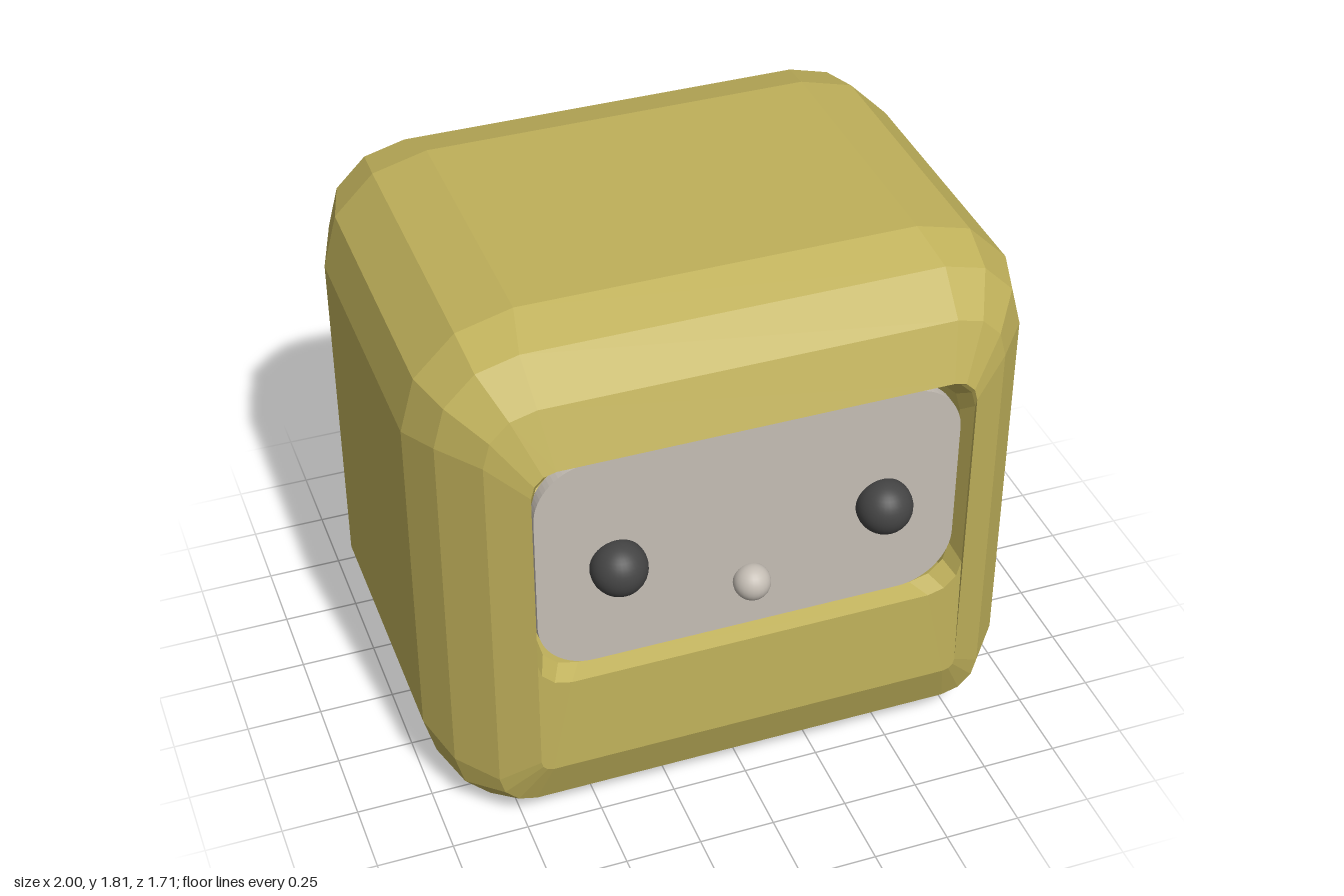
import * as THREE from 'three';

const paint = (color, flatShading = false) => new THREE.MeshStandardMaterial({ color, flatShading });

// Rounded rectangle loop, counter-clockwise, four points per corner
function loop([z, x, y0, y1, rTop, rBottom]) {
  const corners = [
    [x - rBottom, y0 + rBottom, rBottom, -1], [x - rTop, y1 - rTop, rTop, 0],
    [-x + rTop, y1 - rTop, rTop, 1], [-x + rBottom, y0 + rBottom, rBottom, 2],
  ];
  const points = [];
  for (const [cx, cy, r, quarter] of corners) {
    for (let i = 0; i <= 3; i++) {
      const a = (quarter + i / 3) * Math.PI / 2;
      points.push(cx + r * Math.cos(a), cy + r * Math.sin(a), z);
    }
  }
  return points;
}

// Skin through the loops from back to front, closed at the back
function loft(sections) {
  const n = 16;
  const positions = sections.flatMap(loop);
  const index = [];
  for (let s = 0; s < sections.length - 1; s++) {
    for (let j = 0; j < n; j++) {
      const a = s * n + j, b = s * n + (j + 1) % n;
      index.push(a, b, a + n, b, b + n, a + n);
    }
  }
  for (let j = 1; j < n - 1; j++) index.push(0, j + 1, j);
  const geometry = new THREE.BufferGeometry();
  geometry.setAttribute('position', new THREE.Float32BufferAttribute(positions, 3));
  geometry.setIndex(index);
  const flat = geometry.toNonIndexed();
  flat.computeVertexNormals();
  return flat;
}

export function createModel() {
  const model = new THREE.Group();
  const add = (name, geometry, material, x = 0, y = 0, z = 0) => {
    const mesh = new THREE.Mesh(geometry, material);
    mesh.name = name;
    mesh.position.set(x, y, z);
    model.add(mesh);
    return mesh;
  };

  // Body shell: z, half width, bottom, top, upper and lower corner radius
  const body = loft([
    [-0.85, 0.65, 0.28, 1.46, 0.02, 0.02],
    [-0.79, 0.82, 0.10, 1.63, 0.15, 0.12],
    [-0.65, 0.94, 0.01, 1.76, 0.27, 0.22],
    [-0.48, 1.00, 0.00, 1.81, 0.36, 0.28],
    [0.45, 1.00, 0.00, 1.81, 0.36, 0.28],
    [0.60, 0.94, 0.01, 1.75, 0.27, 0.22],
    [0.73, 0.83, 0.10, 1.64, 0.17, 0.12],
    [0.80, 0.71, 0.28, 1.46, 0.08, 0.04],
    // rim and inner wall of the face opening
    [0.79, 0.71, 0.62, 1.46, 0.11, 0.11],
    [0.73, 0.69, 0.64, 1.43, 0.13, 0.13],
  ]);
  const bodyMaterial = paint(0xbfb05a, true);
  bodyMaterial.side = THREE.DoubleSide;
  add('body', body, bodyMaterial);

  // Face plate set into the opening
  const w = 0.69, y0 = 0.65, y1 = 1.42, r = 0.18;
  const outline = new THREE.Shape();
  outline.absarc(w - r, y0 + r, r, -Math.PI / 2, 0);
  outline.absarc(w - r, y1 - r, r, 0, Math.PI / 2);
  outline.absarc(-w + r, y1 - r, r, Math.PI / 2, Math.PI);
  outline.absarc(-w + r, y0 + r, r, Math.PI, Math.PI * 1.5);
  const plate = new THREE.ExtrudeGeometry(outline, { depth: 0.04, bevelEnabled: false, curveSegments: 8 });
  add('facePlate', plate, paint(0xc4bdb4), 0, 0, 0.705);

  // Eyes and nose
  const eye = new THREE.SphereGeometry(0.09, 32, 20);
  const eyeMaterial = paint(0x444444);
  add('leftEye', eye, eyeMaterial, 0.435, 1.02, 0.77);
  add('rightEye', eye, eyeMaterial, -0.435, 1.02, 0.77);
  add('nose', new THREE.SphereGeometry(0.06, 24, 16), paint(0xc4bdb4), 0, 0.835, 0.766);

  return model;
}
